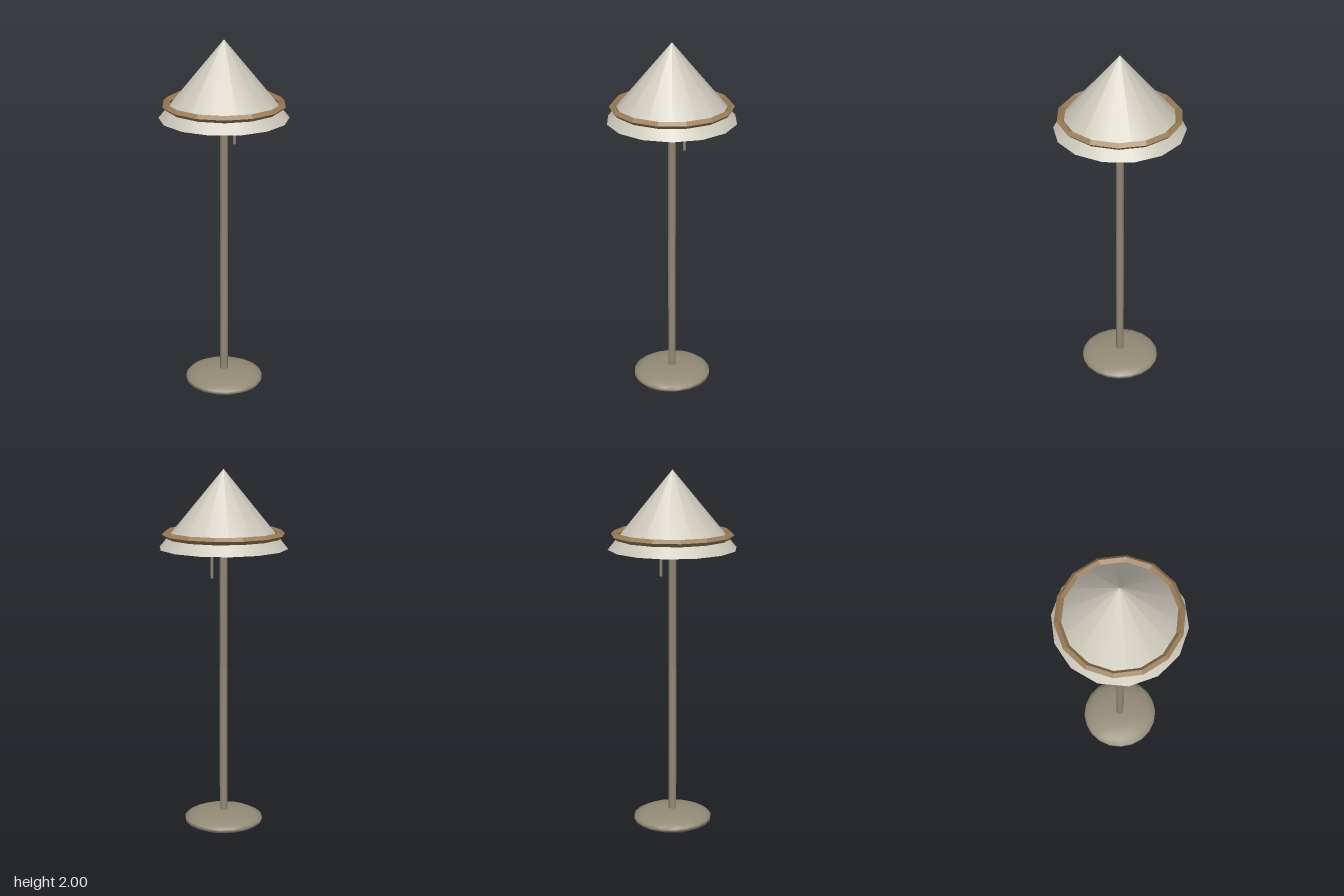
import * as THREE from 'three';

const SIDES = 14;

export function createModel() {
  const model = new THREE.Group();
  const cream = new THREE.MeshStandardMaterial({ color: 0xcdc8bb });
  const khaki = new THREE.MeshStandardMaterial({ color: 0x938a76 });
  const brown = new THREE.MeshStandardMaterial({ color: 0x9a7d58, flatShading: true });

  const add = (name, geometry, material, x = 0, y = 0) => {
    const mesh = new THREE.Mesh(geometry, material);
    mesh.name = name;
    mesh.position.set(x, y, 0);
    model.add(mesh);
    return mesh;
  };
  // Upright rod between two heights
  const rod = (name, radius, y0, y1, sides, x = 0) =>
    add(name, new THREE.CylinderGeometry(radius, radius, y1 - y0, sides), khaki, x, (y0 + y1) / 2);

  // Base: flattened ball whose poles point along z
  const ball = new THREE.SphereGeometry(1, SIDES, 10);
  ball.rotateY(Math.PI / 2).rotateX(Math.PI / 2).scale(0.22, 0.05, 0.22);
  // A half-turn count of sides leaves corners at the very top and bottom
  add('base', ball, khaki, 0, 0.052);

  // Two-part pole: eight-sided below, six-sided above
  rod('lowerPole', 0.022, 0.06, 0.91, 8);
  rod('upperPole', 0.022, 0.91, 1.6, 6);

  // Conical shade, closed underneath
  add('shade', new THREE.ConeGeometry(0.348, 0.42, SIDES), cream, 0, 1.79);

  // Diamond-section trim ring around the shade
  const ring = new THREE.TorusGeometry(0.312, 0.019, 4, SIDES);
  ring.rotateX(Math.PI / 2);
  add('trimRing', ring, brown, 0, 1.655);

  // Pull cord hanging under the shade
  rod('pullCord', 0.008, 1.42, 1.6, 6, 0.073);

  return model;
}
